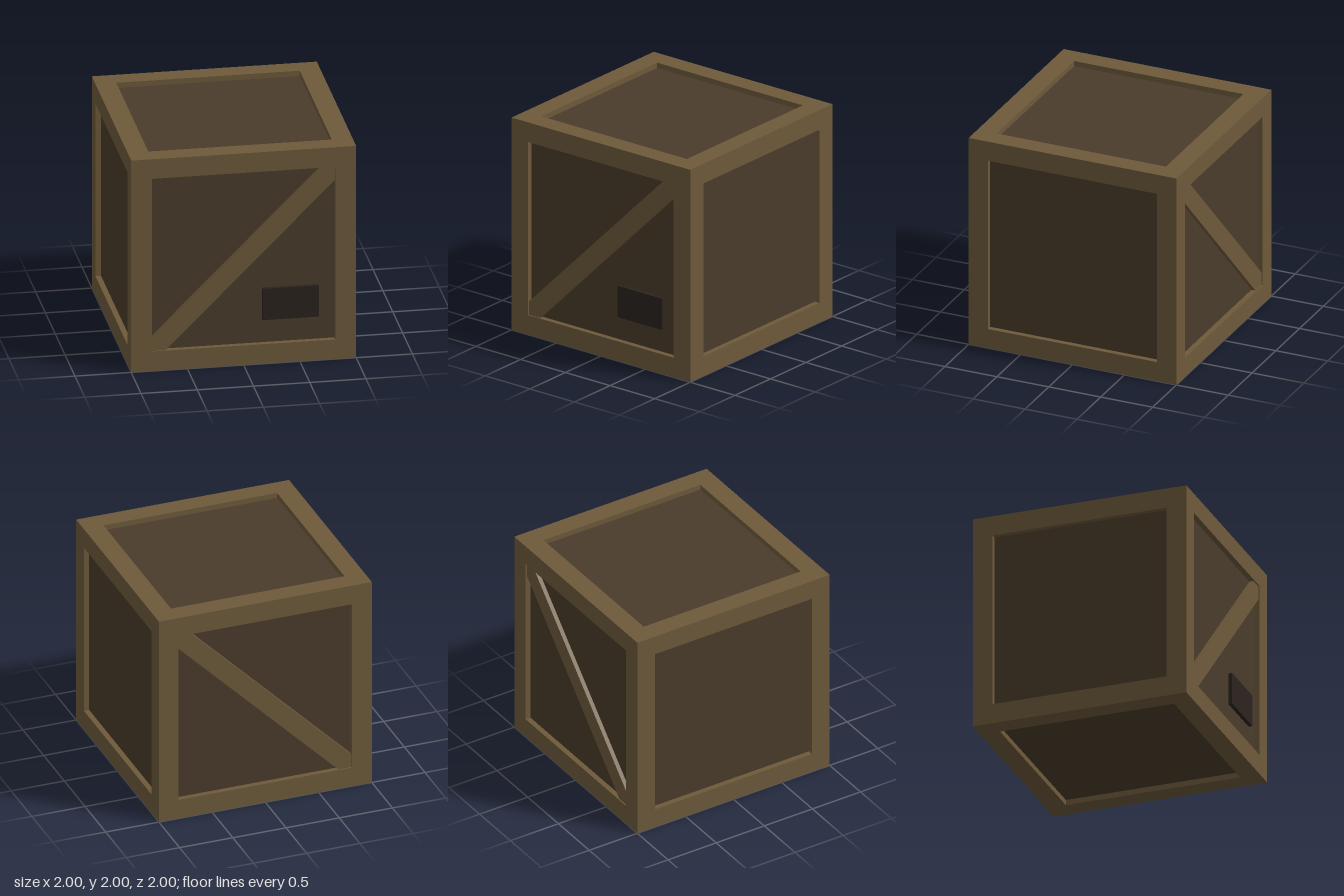
import * as THREE from 'three';

const SIZE = 2, BEAM = 0.185, RECESS = 0.05;
const INNER = SIZE - 2 * BEAM;        // opening between the beams
const MID = (SIZE - BEAM) / 2;        // beam centre line

export function createModel() {
  const crate = new THREE.Group();
  crate.name = 'crate';

  const frameWood = new THREE.MeshStandardMaterial({ color: 0x6e5a3b });
  const panelWood = new THREE.MeshStandardMaterial({ color: 0x4a3c2b });
  const darkPlate = new THREE.MeshStandardMaterial({ color: 0x2b231e });

  const add = (name, geometry, material, x, y, z) => {
    const mesh = new THREE.Mesh(geometry, material);
    mesh.name = name;
    mesh.position.set(x, y, z);
    crate.add(mesh);
    return mesh;
  };

  // Recessed panels on all six sides form one inner box
  const core = SIZE - 2 * RECESS;
  add('panels', new THREE.BoxGeometry(core, core, core), panelWood, 0, 1, 0);

  // Corner posts and the rails between them
  const post = new THREE.BoxGeometry(BEAM, SIZE, BEAM);
  const railX = new THREE.BoxGeometry(INNER, BEAM, BEAM);
  const railZ = new THREE.BoxGeometry(BEAM, BEAM, INNER);
  for (const a of [-1, 1]) {
    for (const b of [-1, 1]) {
      add('cornerPost', post, frameWood, a * MID, 1, b * MID);
      add('crossRail', railX, frameWood, 0, 1 + a * MID, b * MID);
      add('sideRail', railZ, frameWood, a * MID, 1 + b * MID, 0);
    }
  }

  // Diagonal braces, cut to fit the openings and set just below the frame
  const h = INNER / 2, cut = 0.125, inset = 0.012;
  const outline = new THREE.Shape([
    [-h, -h], [-h + cut, -h], [h, h - cut], [h, h], [h - cut, h], [-h, -h + cut],
  ].map(([x, y]) => new THREE.Vector2(x, y)));
  const thickness = RECESS - inset;
  const brace = new THREE.ExtrudeGeometry(outline, { depth: thickness, bevelEnabled: false });
  brace.translate(0, 0, -thickness / 2);
  const braceZ = 1 - inset - thickness / 2;
  add('frontBrace', brace, frameWood, 0, 1, braceZ);
  add('backBrace', brace, frameWood, 0, 1, -braceZ);

  // Small blank plate on the front panel
  add('plate', new THREE.BoxGeometry(0.5, 0.295, 0.06), darkPlate, 0.423, 0.553, 0.955);

  return crate;
}
